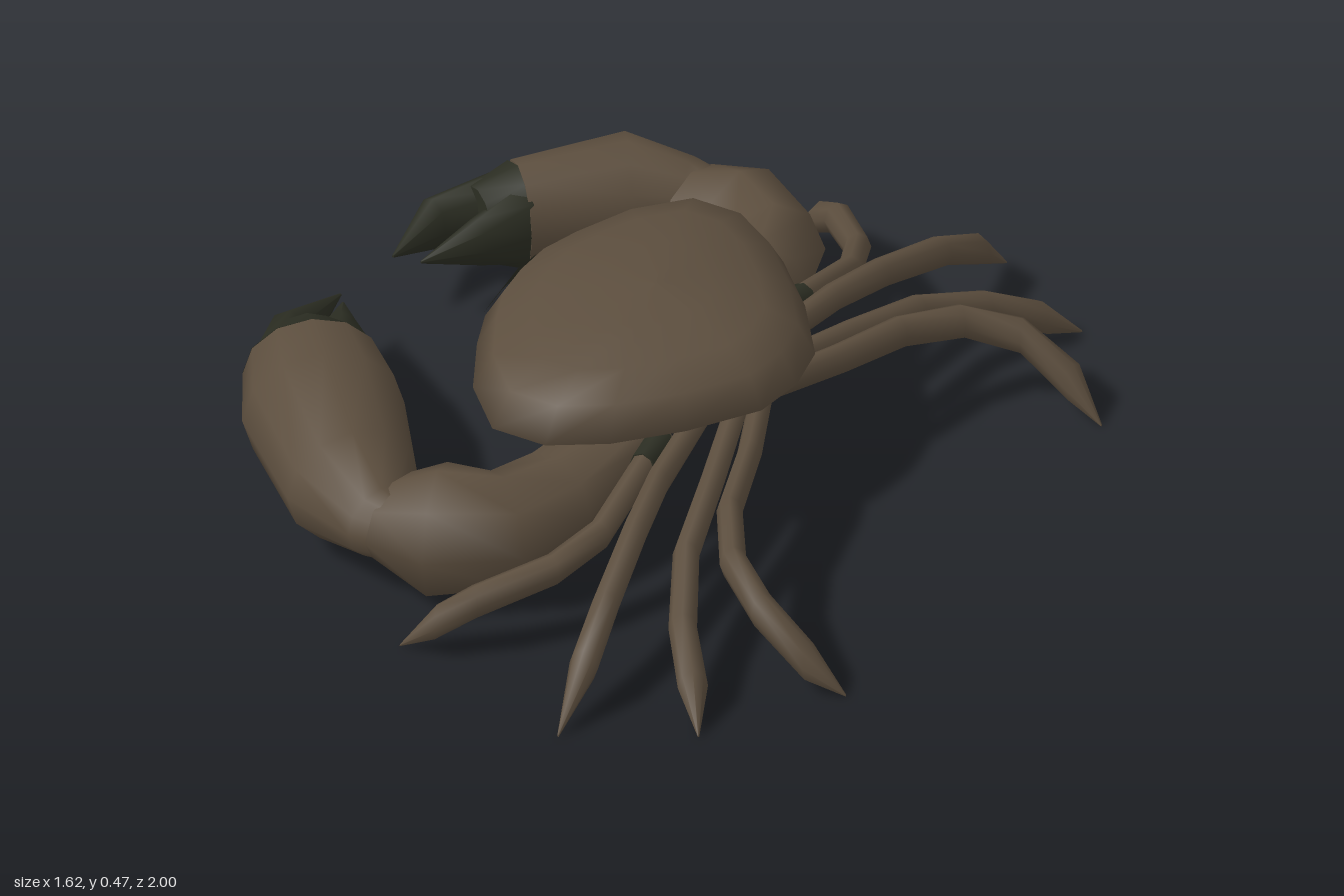
import * as THREE from 'three';

const shell = new THREE.MeshStandardMaterial({ color: 0x5c4e3e });
shell.name = 'brown shell';
const dark = new THREE.MeshStandardMaterial({ color: 0x2b2d22, side: THREE.DoubleSide });
dark.name = 'dark green tips';

// Skins a list of rings; the ends get flat caps with their own vertices
function skin(rings) {
  const n = rings[0].length, pos = [], idx = [];
  rings.forEach(r => r.forEach(p => pos.push(p.x, p.y, p.z)));
  for (let i = 0; i < rings.length - 1; i++) {
    for (let j = 0; j < n; j++) {
      const k = (j + 1) % n, a = i * n + j, b = i * n + k, c = a + n, d = b + n;
      idx.push(a, c, b, b, c, d);
    }
  }
  [rings[0], rings[rings.length - 1]].forEach((r, end) => {
    const base = pos.length / 3, mid = new THREE.Vector3();
    r.forEach(p => { pos.push(p.x, p.y, p.z); mid.addScaledVector(p, 1 / n); });
    pos.push(mid.x, mid.y, mid.z);
    for (let j = 0; j < n; j++) {
      const k = (j + 1) % n;
      idx.push(base + n, base + (end ? k : j), base + (end ? j : k));
    }
  });
  const g = new THREE.BufferGeometry();
  g.setAttribute('position', new THREE.Float32BufferAttribute(pos, 3));
  g.setIndex(idx);
  g.computeVertexNormals();
  return g;
}

// Limb through sections [x, y, z, half width, half height]
function limb(name, sections, material, sides = 8) {
  const up = new THREE.Vector3(0, 1, 0);
  const c = sections.map(s => new THREE.Vector3(s[0], s[1], s[2]));
  const rings = sections.map((s, i) => {
    const t = new THREE.Vector3();
    if (i > 0) t.add(c[i].clone().sub(c[i - 1]).normalize());
    if (i < c.length - 1) t.add(c[i + 1].clone().sub(c[i]).normalize());
    const side = t.setY(0).normalize().cross(up);
    return Array.from({ length: sides }, (_, j) => {
      const a = (j / sides) * Math.PI * 2;
      return c[i].clone().addScaledVector(side, Math.cos(a) * s[3]).addScaledVector(up, Math.sin(a) * s[4]);
    });
  });
  const m = new THREE.Mesh(skin(rings), material);
  m.name = name;
  return m;
}

// Half outline of the body, from the back to the front
const half = [[0.375, 0], [0.355, 0.12], [0.25, 0.265], [0.13, 0.385], [0.01, 0.458], [-0.12, 0.458],
  [-0.23, 0.345], [-0.3, 0.2], [-0.335, 0.1], [-0.342, 0]];
const outline = [...half, ...half.slice(1, -1).reverse().map(([x, z]) => [x, -z])];
const bodyRing = (s, y, cx = 0.03) => outline.map(([x, z]) => new THREE.Vector3(cx + (x - cx) * s, y, z * s));

function body() {
  const g = new THREE.Group();
  g.name = 'body';
  // Belly, rim and domed top in one skin
  const carapace = new THREE.Mesh(skin([[0.6, 0.25, 0.06], [0.84, 0.28, 0.04], [1, 0.32], [0.89, 0.393],
    [0.68, 0.432], [0.36, 0.461], [0.01, 0.47]].map(r => bodyRing(...r))), shell);
  carapace.name = 'carapace';
  // Dark lens-shaped face plate on the front slope
  const low = bodyRing(1, 0.32), high = bodyRing(0.89, 0.393), pos = [];
  [[8, 0.6], [9, 0.95], [10, 0.6]].forEach(([i, t]) => {
    [low[i], low[i].clone().lerp(high[i], t)].forEach(p => pos.push(p.x - 0.005, p.y + 0.004, p.z));
  });
  const plate = new THREE.BufferGeometry();
  plate.setAttribute('position', new THREE.Float32BufferAttribute(pos, 3));
  plate.setIndex([0, 1, 2, 2, 1, 3, 2, 3, 4, 4, 3, 5]);
  plate.computeVertexNormals();
  const face = new THREE.Mesh(plate, dark);
  face.name = 'face';
  g.add(carapace, face);
  return g;
}

// Leg paths on the +z side, front pair first
const legPaths = [
  [[0.19, 0.28, 0.26], [0.195, 0.265, 0.36], [0.2, 0.215, 0.56], [0.15, 0.18, 0.68], [0.03, 0.135, 0.81], [-0.04, 0.085, 0.855], [-0.12, 0.005, 0.87]],
  [[0.22, 0.28, 0.15], [0.25, 0.265, 0.39], [0.28, 0.24, 0.55], [0.318, 0.185, 0.75], [0.337, 0.115, 0.88], [0.34, 0.005, 1]],
  [[0.28, 0.28, 0.1], [0.34, 0.25, 0.31], [0.39, 0.2, 0.52], [0.47, 0.135, 0.68], [0.55, 0.07, 0.78], [0.605, 0.005, 0.855]],
  [[0.3, 0.28, 0.02], [0.37, 0.262, 0.2], [0.42, 0.238, 0.38], [0.5, 0.212, 0.51], [0.61, 0.168, 0.58], [0.73, 0.08, 0.59], [0.81, 0.005, 0.57]],
];

function legs(side) {
  const g = new THREE.Group();
  g.name = side > 0 ? 'nearLegs' : 'farLegs';
  legPaths.forEach((path, n) => {
    const last = path.length - 1;
    g.add(limb('leg' + (n + 1), path.map(([x, y, z], i) => {
      const r = i === last ? 0.002 : 0.025 + 0.01 * (i / last);
      return [x, y, z * side, r, r * (n === 3 ? 1.4 : 1.25)];
    }), shell));
  });
  g.add(limb('legRoot', [[0.19, 0.28, 0.27 * side, 0.031, 0.036], [0.195, 0.265, 0.36 * side, 0.031, 0.036]], dark));
  return g;
}

function claw(name, arm, hand, knuckle, fingers) {
  const g = new THREE.Group();
  g.name = name;
  g.add(limb('arm', arm, shell), limb('hand', hand, shell, 12));
  g.add(limb('knuckle', [hand[hand.length - 1], knuckle], dark, 12));
  fingers.forEach((f, i) => g.add(limb(i ? 'innerFinger' : 'outerFinger', f, dark)));
  return g;
}

export function createModel() {
  const model = new THREE.Group();
  model.name = 'crab';
  model.add(body(), legs(1), legs(-1));

  // Large claw
  model.add(claw('largeClaw',
    [[0.09, 0.265, 0.24, 0.085, 0.05], [0.035, 0.19, 0.45, 0.11, 0.105], [-0.02, 0.168, 0.585, 0.122, 0.138],
      [-0.145, 0.172, 0.66, 0.14, 0.154], [-0.255, 0.172, 0.66, 0.122, 0.085]],
    [[-0.18, 0.172, 0.71, 0.05, 0.07], [-0.265, 0.172, 0.69, 0.09, 0.085], [-0.38, 0.175, 0.61, 0.148, 0.14],
      [-0.57, 0.17, 0.395, 0.178, 0.155], [-0.67, 0.172, 0.265, 0.15, 0.127]],
    [-0.715, 0.172, 0.205, 0.085, 0.09],
    [[[-0.712, 0.172, 0.315, 0.078, 0.1], [-0.762, 0.172, 0.195, 0.05, 0.075], [-0.745, 0.172, 0, 0.003, 0.003]],
      [[-0.62, 0.172, 0.22, 0.075, 0.1], [-0.672, 0.172, 0.13, 0.042, 0.06], [-0.725, 0.172, 0.025, 0.003, 0.003]]]));

  // Small claw
  model.add(claw('smallClaw',
    [[0.09, 0.265, -0.24, 0.085, 0.05], [0.035, 0.19, -0.45, 0.11, 0.105], [-0.005, 0.166, -0.585, 0.115, 0.135],
      [-0.12, 0.175, -0.645, 0.125, 0.135], [-0.245, 0.172, -0.655, 0.112, 0.085]],
    [[-0.18, 0.172, -0.69, 0.05, 0.07], [-0.265, 0.172, -0.685, 0.082, 0.085], [-0.39, 0.168, -0.635, 0.125, 0.135],
      [-0.56, 0.162, -0.455, 0.1, 0.13]],
    [-0.615, 0.168, -0.375, 0.075, 0.09],
    [[[-0.585, 0.166, -0.475, 0.062, 0.105], [-0.7, 0.168, -0.33, 0.045, 0.065], [-0.715, 0.17, -0.18, 0.003, 0.003]],
      [[-0.53, 0.166, -0.425, 0.055, 0.105], [-0.582, 0.168, -0.315, 0.042, 0.06], [-0.652, 0.17, -0.19, 0.003, 0.003]]]));
  return model;
}
